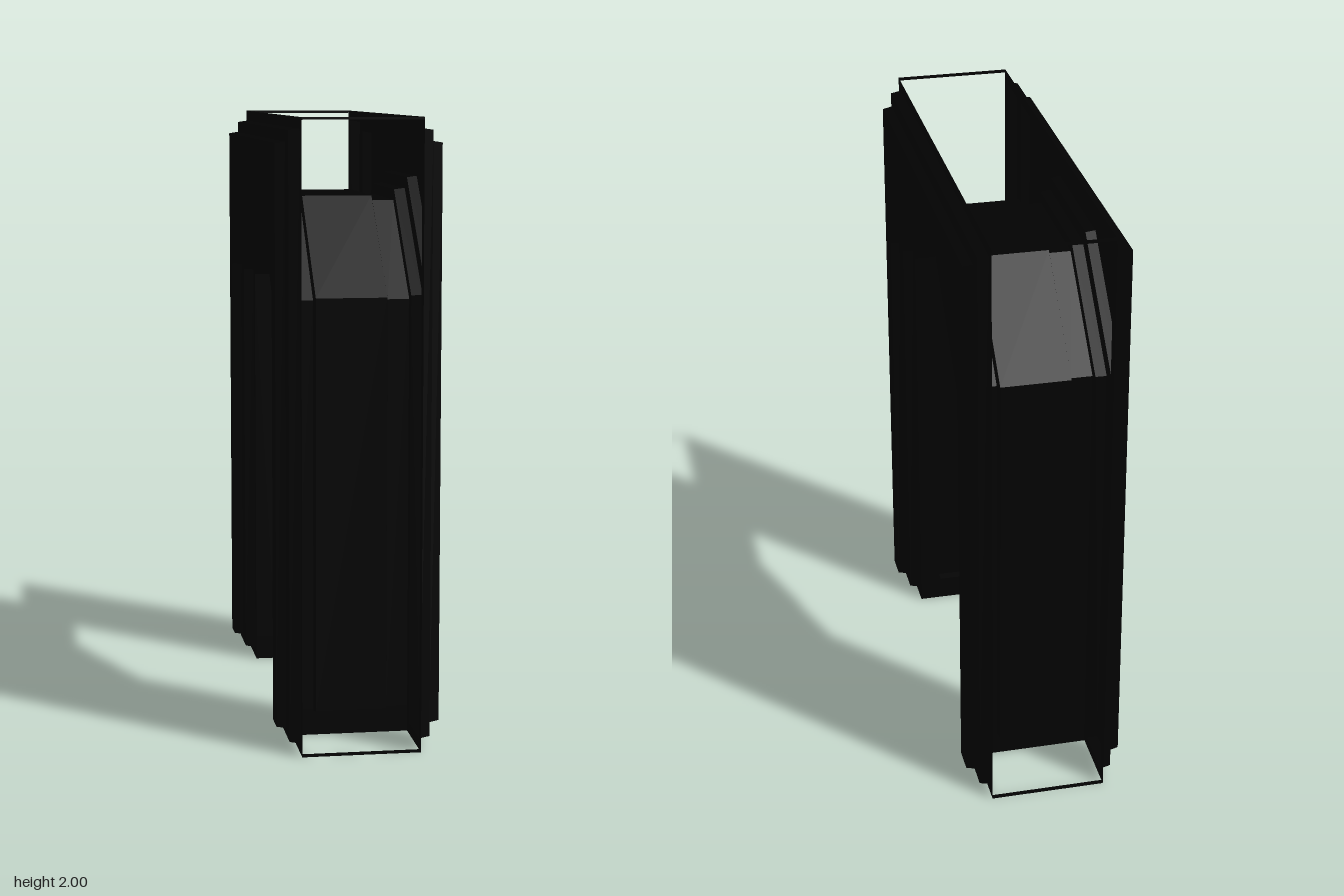
import * as THREE from 'three';

const black = new THREE.MeshStandardMaterial({ color: 0x020202, side: THREE.DoubleSide });
black.name = 'black';

// Arch outline as [z, y] pairs, pulled in by d on every edge
function archOutline(d) {
  const k = d * Math.tan(Math.PI / 8);
  const half = [
    [0.2 + k, 1.72 + d], [0.5 + d, 1.42 + k], [0.5 + d, d],
    [0.745 - d, d], [0.745 - d, 2 - d],
  ];
  return [...half, ...half.map(([z, y]) => [-z, y]).reverse()];
}

// Flat-shaded skin between rows of points
function skin(rows, closed) {
  const pos = [];
  for (let i = 0; i < rows.length - 1; i++) {
    const a = rows[i], b = rows[i + 1], n = a.length;
    for (let j = 0; j < (closed ? n : n - 1); j++) {
      const k = (j + 1) % n;
      pos.push(...a[j], ...a[k], ...b[k], ...a[j], ...b[k], ...b[j]);
    }
  }
  const g = new THREE.BufferGeometry();
  g.setAttribute('position', new THREE.Float32BufferAttribute(pos, 3));
  g.computeVertexNormals();
  return g;
}

function add(parent, name, geometry) {
  const m = new THREE.Mesh(geometry, black);
  m.name = name;
  parent.add(m);
  return m;
}

// Side face: two mouldings stepping outward to a flat raised panel
function sideFace(side) {
  const group = new THREE.Group();
  group.name = side > 0 ? 'leftFace' : 'rightFace';
  const steps = [[0, 0.19], [0.035, 0.19], [0.04, 0.225], [0.075, 0.23], [0.08, 0.262]];
  const rows = steps.map(([d, x]) => archOutline(d).map(([z, y]) => [side * x, y, side * z]));
  add(group, 'steppedMoulding', skin(rows, true));

  const shape = new THREE.Shape(archOutline(0.08).map(([z, y]) => new THREE.Vector2(z, y)));
  const panel = add(group, 'raisedPanel', new THREE.ShapeGeometry(shape));
  panel.rotation.y = side * Math.PI / 2;
  panel.position.x = side * 0.262;
  return group;
}

// Lining of the opening with a recessed band that stops above the feet
function innerLining() {
  const section = [[-0.19, 0], [-0.12, 0], [-0.115, 1], [0.115, 1], [0.12, 0], [0.19, 0]];
  // z, y, and the recess direction dz, dy
  const half = [
    [0.5, 0, 0, 0], [0.5, 0.08, 0, 0], [0.5, 0.085, 0.028, 0],
    [0.5, 1.42, 0.028, 0.008], [0.2, 1.72, 0.012, 0.016],
  ];
  const path = [...half, ...half.map(([z, y, dz, dy]) => [-z, y, -dz, dy]).reverse()];
  return skin(path.map(([z, y, dz, dy]) =>
    section.map(([x, r]) => [x, y + r * dy, z + r * dz])), false);
}

export function createModel() {
  const model = new THREE.Group();
  model.name = 'archway';
  model.add(sideFace(1), sideFace(-1));
  add(model, 'innerLining', innerLining());

  // Thin ties across the open ends
  for (const z of [-0.741, 0.741]) {
    for (const y of [0.004, 1.996]) {
      add(model, 'edgeTie', new THREE.BoxGeometry(0.38, 0.008, 0.008)).position.set(0, y, z);
    }
  }
  return model;
}
